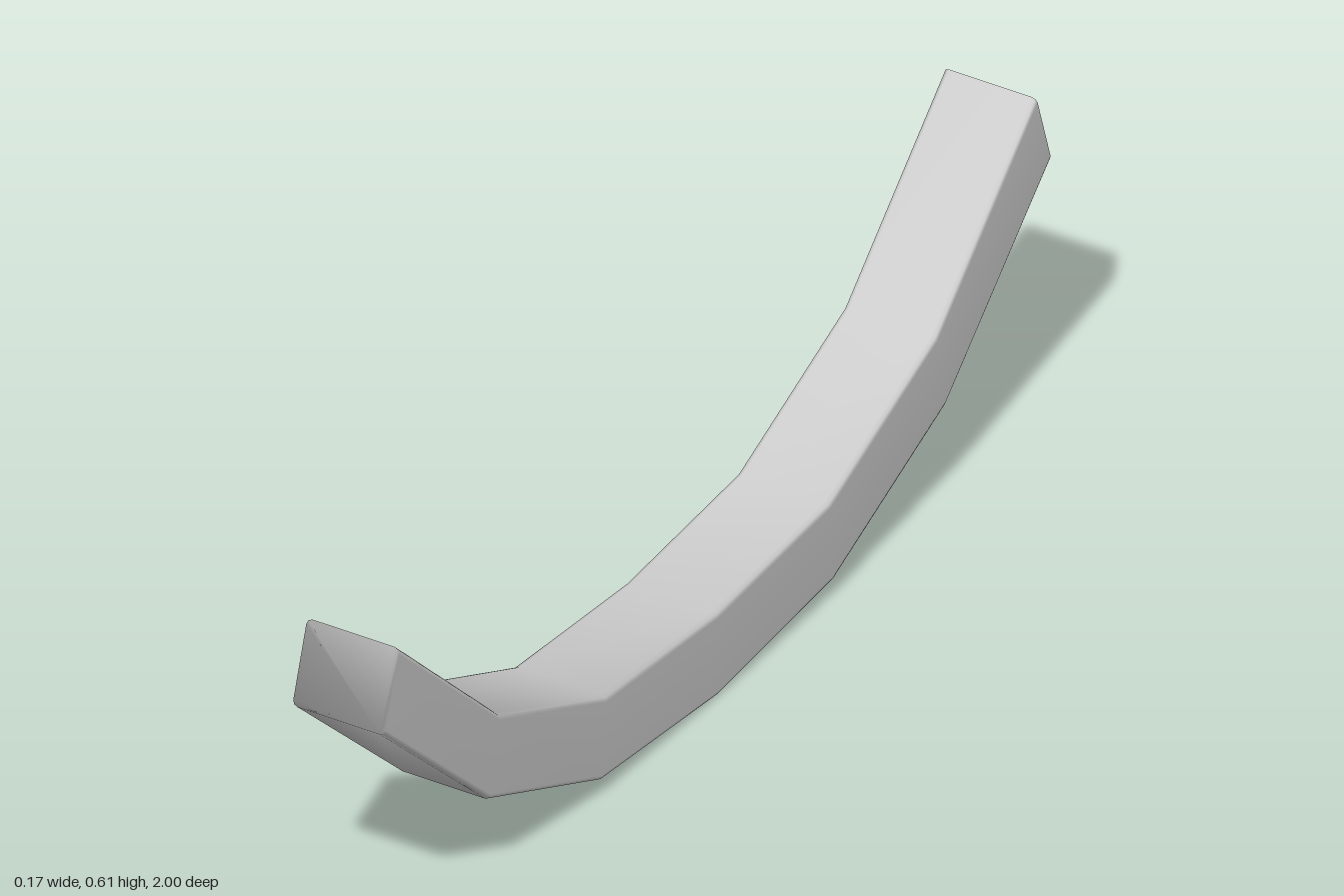
import * as THREE from 'three';

const HALF_WIDTH = 0.0865;
const RADIUS = 0.01;

// Half of the curve, from the middle outwards: [zTop, yTop, zBottom, yBottom]
const HALF = [
  [0, 0.157, 0, 0],
  [0.335, 0.181, 0.35, 0.03],
  [0.655, 0.32, 0.685, 0.175],
  [0.955, 0.605, 1, 0.465],
];

// Rounded rectangle, counter-clockwise: x across, t from bottom (0) to top (1)
function sectionPoints() {
  const height = 0.15, steps = 2, points = [];
  const corners = [[1, -1], [1, 1], [-1, 1], [-1, -1]];
  corners.forEach(([sx, sy], k) => {
    for (let i = 0; i <= steps; i++) {
      const a = (k - 1 + i / steps) * Math.PI / 2;
      const x = sx * (HALF_WIDTH - RADIUS) + RADIUS * Math.cos(a);
      const y = sy * (height / 2 - RADIUS) + RADIUS * Math.sin(a);
      points.push([x, y / height + 0.5]);
    }
  });
  return points;
}

// Skin the cross-sections along the stations and close both ends
function curvedBar() {
  const mirrored = HALF.slice(1).reverse().map(([zt, yt, zb, yb]) => [-zt, yt, -zb, yb]);
  const stations = [...mirrored, ...HALF];
  const section = sectionPoints();
  const n = section.length;
  const positions = [], index = [];

  for (const [zt, yt, zb, yb] of stations) {
    for (const [x, t] of section) {
      positions.push(x, yb + (yt - yb) * t, zb + (zt - zb) * t);
    }
  }
  for (let i = 0; i < stations.length - 1; i++) {
    for (let j = 0; j < n; j++) {
      const k = (j + 1) % n;
      const a = i * n + j, b = i * n + k, c = b + n, d = a + n;
      index.push(a, b, c, a, c, d);
    }
  }
  const last = (stations.length - 1) * n;
  for (let j = 1; j < n - 1; j++) {
    index.push(0, j + 1, j);
    index.push(last, last + j, last + j + 1);
  }

  const geometry = new THREE.BufferGeometry();
  geometry.setAttribute('position', new THREE.Float32BufferAttribute(positions, 3));
  geometry.setIndex(index);
  geometry.computeVertexNormals();
  return geometry;
}

export function createModel() {
  const group = new THREE.Group();
  group.name = 'curvedRunner';
  const material = new THREE.MeshStandardMaterial({ color: 0xcccccc });
  const bar = new THREE.Mesh(curvedBar(), material);
  bar.name = 'curvedBar';
  group.add(bar);
  return group;
}
